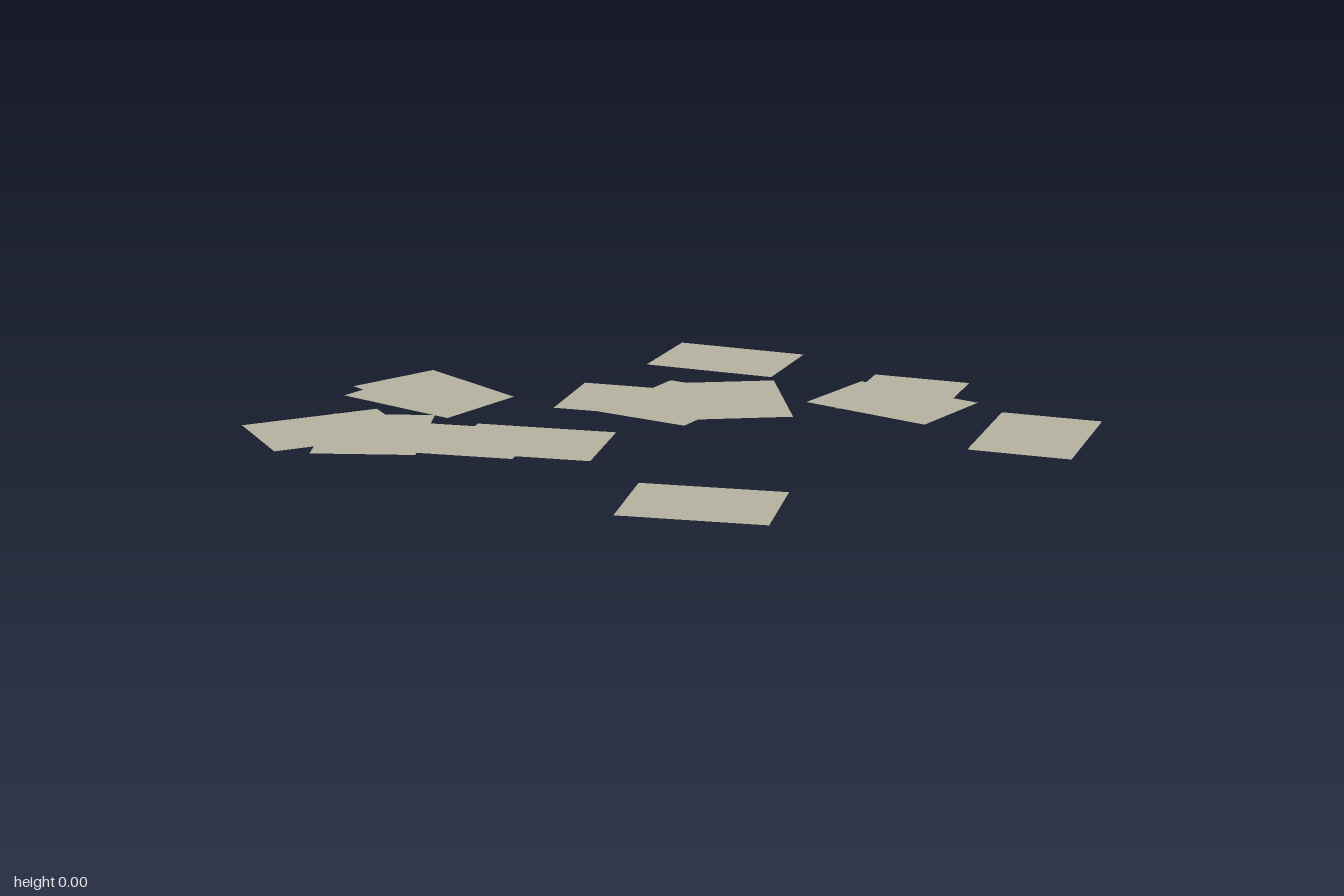
import * as THREE from 'three';

// Loose paper sheets scattered flat on the ground
const LENGTH = 0.375, WIDTH = 0.27, LAYER = 0.001;

// [centre x, centre z, long-side direction x, z, layer in its pile]
const SHEETS = [
  // back right pile
  [-0.404, -0.636, 13, 69, 0],
  [-0.436, -0.596, 27, 64, 1],
  // long pile on the right
  [-0.807, -0.430, 70, 5, 0],
  [-0.719, -0.329, 38, -59, 1],
  [-0.559, -0.168, 52, 47.5, 2],
  [-0.398, -0.051, 51, 47, 3],
  // middle pile
  [0.267, -0.158, 28, -64, 0],
  [0.118, -0.206, 61, -34, 1],
  [0.029, -0.278, 49, 51, 2],
  // left pile
  [0.623, 0.078, 28, 64, 0],
  [0.687, 0.037, 53.5, -45, 1],
  // single sheets
  [0.467, -0.540, 23, 29, 0],
  [-0.281, 0.615, 28, 25, 0],
  [0.768, 0.530, 28.5, -24.5, 0],
];

export function createModel() {
  const group = new THREE.Group();
  group.name = 'scatteredPapers';

  const paper = new THREE.MeshStandardMaterial({ color: 0xb5b09f, side: THREE.DoubleSide });
  paper.name = 'agedPaper';

  const sheet = new THREE.PlaneGeometry(LENGTH, WIDTH).rotateX(-Math.PI / 2);

  SHEETS.forEach(([x, z, dx, dz, layer], i) => {
    const mesh = new THREE.Mesh(sheet, paper);
    mesh.name = `paperSheet${i + 1}`;
    mesh.position.set(x, layer * LAYER, z);
    mesh.rotation.y = Math.atan2(-dz, dx);
    group.add(mesh);
  });

  return group;
}
